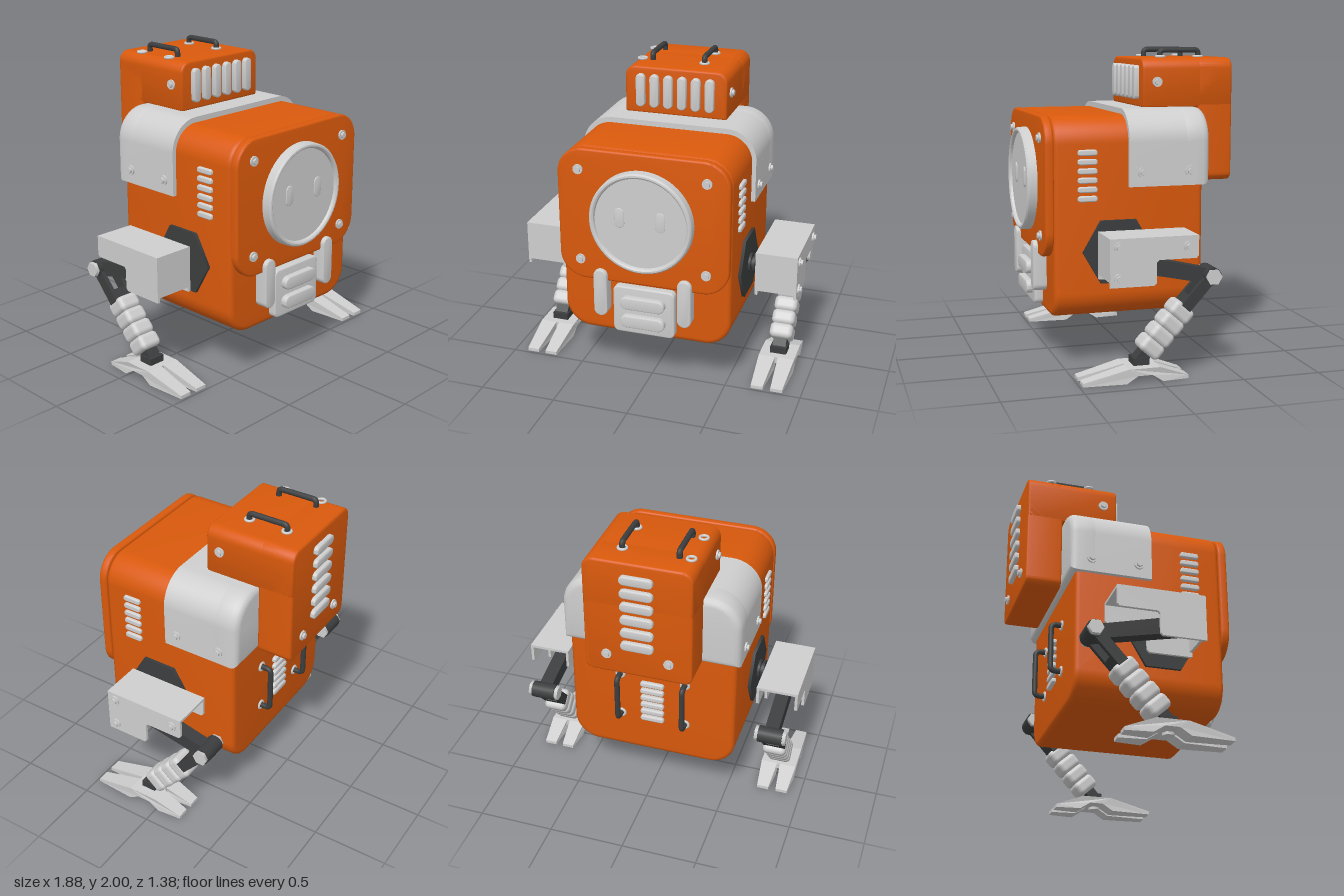
import * as THREE from 'three';
import { toCreasedNormals } from 'three/addons/utils/BufferGeometryUtils.js';
import { RoundedBoxGeometry } from 'three/addons/geometries/RoundedBoxGeometry.js';

const paint = (name, color) => Object.assign(new THREE.MeshStandardMaterial({ color }), { name });

// Rounded rectangle centred on the origin, with separate top and bottom radii
function roundedRect(w, h, top, bottom = top) {
  const s = new THREE.Shape(), x = w / 2, y = h / 2;
  s.moveTo(-x + bottom, -y);
  s.lineTo(x - bottom, -y);
  if (bottom > 0) s.absarc(x - bottom, -y + bottom, bottom, -Math.PI / 2, 0);
  s.lineTo(x, y - top);
  s.absarc(x - top, y - top, top, 0, Math.PI / 2);
  s.lineTo(-x + top, y);
  s.absarc(-x + top, y - top, top, Math.PI / 2, Math.PI);
  s.lineTo(-x, -y + bottom);
  if (bottom > 0) s.absarc(-x + bottom, -y + bottom, bottom, Math.PI, Math.PI * 1.5);
  return s;
}

// Slab of full size w x h x d with softened edges, centred
function slabGeometry(w, h, d, top, bottom, bevel) {
  const b = bevel, shape = roundedRect(w - 2 * b, h - 2 * b, Math.max(top - b, 0.002), Math.max(bottom - b, 0));
  const g = new THREE.ExtrudeGeometry(shape, {
    depth: d - 2 * b, bevelEnabled: b > 0, bevelSize: b, bevelThickness: b, bevelSegments: 3, curveSegments: 10,
  });
  g.translate(0, 0, -d / 2 + b);
  return toCreasedNormals(g, 0.7);
}

// Side outline in (z, y), extruded across x and centred
function profileGeometry(points, width) {
  const shape = new THREE.Shape(points.map(([z, y]) => new THREE.Vector2(z, y)));
  const g = new THREE.ExtrudeGeometry(shape, { depth: width, bevelEnabled: false });
  return g.translate(0, 0, -width / 2).rotateY(-Math.PI / 2);
}

export function createModel() {
  const orange = paint('orange paint', 0xd9590c);
  const light = paint('light grey metal', 0xcecece);
  const dark = paint('dark grey rubber', 0x3c3d3e);
  const root = new THREE.Group();
  root.name = 'walkingRobot';
  const CX = -0.013;

  const add = (parent, name, geometry, material, x = 0, y = 0, z = 0) => {
    const m = new THREE.Mesh(geometry, material);
    m.name = name;
    m.position.set(x, y, z);
    parent.add(m);
    return m;
  };
  const Z = new THREE.Vector3(0, 0, 1);
  const face = (obj, dir) => obj.quaternion.setFromUnitVectors(Z, new THREE.Vector3(...dir));

  // Washer with a hexagonal head, pointing along dir
  const bolt = (parent, x, y, z, dir) => {
    const g = new THREE.Group();
    g.name = 'bolt';
    add(g, 'washer', new THREE.CylinderGeometry(0.032, 0.032, 0.014, 20).rotateX(Math.PI / 2), light, 0, 0, 0.004);
    add(g, 'boltHead', new THREE.CylinderGeometry(0.02, 0.022, 0.024, 6).rotateX(Math.PI / 2), light, 0, 0, 0.013);
    g.position.set(x, y, z);
    face(g, dir);
    parent.add(g);
  };
  // Raised capsule-shaped bar facing +z, before any turn
  const capsule = (w, h, d) => slabGeometry(w, h, d, Math.min(w, h) / 2 - 0.001, Math.min(w, h) / 2 - 0.001, Math.min(0.008, d / 3));

  // Body and front plate
  add(root, 'body', slabGeometry(1.115, 1.265, 0.96, 0.17, 0.17, 0.03), orange, CX, 0.9575, 0.09);
  add(root, 'frontPlate', slabGeometry(1.115, 0.88, 0.055, 0.17, 0.17, 0.012), orange, CX, 1.15, 0.5975);
  for (const x of [-0.43, 0.4]) for (const y of [0.845, 1.455]) bolt(root, x, y, 0.625, [0, 0, 1]);

  // Round face with a raised rim
  const rim = [[0.001, 0.045], [0.298, 0.045], [0.303, 0.06], [0.313, 0.067], [0.324, 0.066], [0.333, 0.055], [0.335, 0.0]];
  const faceGeometry = new THREE.LatheGeometry(rim.reverse().map(p => new THREE.Vector2(...p)), 56);
  add(root, 'faceDisc', toCreasedNormals(faceGeometry.rotateX(Math.PI / 2), 0.6), light, CX, 1.155, 0.622);
  for (const x of [-0.148, 0.117]) add(root, 'eye', capsule(0.064, 0.13, 0.009), light, x, 1.18, 0.669);

  // Lower front panel with bars
  add(root, 'chinPanel', slabGeometry(0.41, 0.325, 0.06, 0.035, 0.035, 0.01), light, CX, 0.52, 0.595);
  for (const y of [0.585, 0.455]) add(root, 'chinBar', capsule(0.295, 0.085, 0.05), light, CX, y, 0.64);
  for (const x of [-0.295, 0.263]) add(root, 'frontBar', capsule(0.09, 0.325, 0.09), light, x, 0.63, 0.61);

  // Shoulder cover: straight front rim, softened back
  add(root, 'shoulderCover', slabGeometry(1.17, 0.475, 0.44, 0.2, 0, 0), light, CX, 1.3875, -0.12);
  add(root, 'shoulderCoverBack', slabGeometry(1.17, 0.475, 0.2, 0.2, 0.045, 0.045), light, CX, 1.3875, -0.33);
  for (const s of [-1, 1]) {
    for (const z of [0.015, -0.295]) bolt(root, CX + s * 0.585, 1.24, z, [s, 0, 0]);
    // Side vents
    for (let i = 0; i < 6; i++) {
      face(add(root, 'sideVent', capsule(0.125, 0.037, 0.04), light, CX + s * 0.557, 1.37 - i * 0.057, 0.362), [s, 0, 0]);
    }
  }

  // Head: upper box and rear box that hangs behind the cover
  add(root, 'headTop', slabGeometry(0.69, 0.315, 0.605, 0.07, 0.015, 0.014), orange, -0.015, 1.7775, -0.3625);
  add(root, 'headRear', slabGeometry(0.69, 0.795, 0.235, 0.07, 0.05, 0.014), orange, -0.015, 1.5375, -0.5475);
  for (let i = 0; i < 6; i++) {
    add(root, 'headFrontVent', capsule(0.06, 0.22, 0.05), light, -0.25 + i * 0.0935, 1.78, -0.053);
    add(root, 'headRearVent', capsule(0.21, 0.06, 0.05), light, -0.015, 1.83 - i * 0.093, -0.668);
  }
  for (const s of [-1, 1]) {
    bolt(root, -0.015 + s * 0.345, 1.785, -0.155, [s, 0, 0]);
    bolt(root, -0.013 + s * 0.2, 1.275, -0.665, [0, 0, -1]);
  }

  // Bent tube handle: span along one axis, rise along another
  const handle = (name, x, y, z, span, rise) => {
    const a = new THREE.Vector3(...span), b = new THREE.Vector3(...rise);
    const at = (u, v) => new THREE.Vector3(x, y, z).addScaledVector(a, u).addScaledVector(b, v);
    const path = new THREE.CurvePath();
    path.add(new THREE.LineCurve3(at(-1, -0.2), at(-1, 0.5)));
    path.add(new THREE.QuadraticBezierCurve3(at(-1, 0.5), at(-1, 1), at(-0.8, 1)));
    path.add(new THREE.LineCurve3(at(-0.8, 1), at(0.8, 1)));
    path.add(new THREE.QuadraticBezierCurve3(at(0.8, 1), at(1, 1), at(1, 0.5)));
    path.add(new THREE.LineCurve3(at(1, 0.5), at(1, -0.2)));
    add(root, name, new THREE.TubeGeometry(path, 48, 0.018, 10), dark);
  };
  const ring = (x, y, z, dir) => face(add(root, 'handleRing', new THREE.TorusGeometry(0.026, 0.009, 8, 24), light, x, y, z), dir);
  for (const [x, ringX] of [[-0.228, -0.3], [0.127, 0.127]]) {
    handle('headHandle', x, 1.935, -0.37, [0, 0, 0.132], [0, 0.047, 0]);
    for (const z of [-0.5, -0.24]) ring(ringX, 1.94, z, [0, 1, 0]);
  }

  // Back handles and vents
  for (const s of [-1, 1]) {
    const x = -0.015 + s * 0.22;
    handle('backHandle', x, 0.765, -0.39, [0, 0.16, 0], [0, 0, -0.072]);
    for (const y of [0.605, 0.925]) ring(x, y, -0.393, [0, 0, -1]);
  }
  for (let i = 0; i < 6; i++) add(root, 'backVent', capsule(0.16, 0.037, 0.04), light, -0.015, 0.88 - i * 0.055, -0.395);

  // Hip plates and ribbed axles
  for (const s of [-1, 1]) {
    const plate = new THREE.CylinderGeometry(0.228, 0.228, 0.04, 6).rotateY(Math.PI / 6).rotateZ(Math.PI / 2);
    plate.rotateX(Math.PI / 6);
    // Turn until one hexagon corner points forward
    const p = plate.attributes.position;
    let best = 0;
    for (let i = 0; i < p.count; i++) if (Math.hypot(p.getY(i), p.getZ(i)) > 0.2) best = Math.atan2(p.getY(i), p.getZ(i));
    plate.rotateX(best);
    add(root, 'hipPlate', plate, dark, CX + s * 0.558, 0.75, 0.168);
    add(root, 'hipAxle', new THREE.CylinderGeometry(0.04, 0.04, 0.2, 20).rotateZ(Math.PI / 2), dark, CX + s * 0.62, 0.75, 0.168);
    for (const d of [0.588, 0.616, 0.644]) {
      add(root, 'axleRib', new THREE.CylinderGeometry(0.064, 0.064, 0.016, 24).rotateZ(Math.PI / 2), dark, CX + s * d, 0.75, 0.168);
    }
  }

  // Legs
  const shellSide = [[0.32, 0.6], [0.32, 0.895], [-0.235, 0.895], [-0.235, 0.77], [-0.22, 0.755], [0.015, 0.755],
    [0.03, 0.74], [0.03, 0.615], [0.045, 0.6]];
  const thigh = [[0.25, 0.8], [-0.32, 0.665], [-0.385, 0.61], [-0.33, 0.57], [0.25, 0.69]];
  const footSide = [[0.48, 0], [0.48, 0.022], [0.2, 0.09], [0, 0.09], [-0.185, 0.022], [-0.185, 0], [-0.02, 0], [0.05, 0.045],
    [0.14, 0.045], [0.21, 0]];
  for (const s of [-1, 1]) {
    const leg = new THREE.Group();
    leg.name = s > 0 ? 'leftLeg' : 'rightLeg';
    leg.position.x = s > 0 ? 0.773 : -0.806;
    root.add(leg);

    // Open thigh cover
    for (const e of [-1, 1]) add(leg, 'thighCoverSide', profileGeometry(shellSide, 0.018), light, e * 0.127);
    add(leg, 'thighCoverTop', new THREE.BoxGeometry(0.25, 0.018, 0.555), light, 0, 0.886, 0.0425);
    add(leg, 'thighCoverFront', new THREE.BoxGeometry(0.25, 0.26, 0.018), light, 0, 0.76, 0.311);
    if (s > 0) for (const [y, z] of [[0.845, 0.265], [0.655, 0.265], [0.83, -0.17]]) bolt(leg, 0.136, y, z, [1, 0, 0]);

    // Thigh link and knee
    add(leg, 'thighLink', profileGeometry(thigh, 0.09), dark);
    add(leg, 'kneeJoint', new THREE.CylinderGeometry(0.055, 0.055, 0.16, 16).rotateZ(Math.PI / 2), dark, 0, 0.62, -0.35);
    for (const e of [-1, 1]) add(leg, 'kneeBolt', new THREE.CylinderGeometry(0.048, 0.052, 0.024, 6).rotateZ(Math.PI / 2), light, e * 0.09, 0.62, -0.35);

    // Shin: dark fork with rounded sleeves
    const shin = new THREE.Group();
    shin.name = 'shin';
    shin.position.set(0, 0.62, -0.35);
    shin.rotation.x = -0.73;
    leg.add(shin);
    for (const e of [-1, 1]) add(shin, 'shinFork', new THREE.BoxGeometry(0.03, 0.27, 0.07), dark, e * 0.058, -0.125, 0);
    add(shin, 'shinCore', new THREE.BoxGeometry(0.09, 0.5, 0.07), dark, 0, -0.43, 0);
    for (let i = 0; i < 4; i++) add(shin, 'shinSleeve', new RoundedBoxGeometry(0.155, 0.1, 0.155, 3, 0.032), light, 0, -0.292 - i * 0.094, 0);

    // Foot with two front and two rear toes
    add(leg, 'ankleBlock', new THREE.BoxGeometry(0.11, 0.05, 0.1), dark, 0, 0.11, 0.1);
    add(leg, 'ankleNut', new THREE.CylinderGeometry(0.04, 0.04, 0.09, 6), light, 0, 0.073, 0.11);
    add(leg, 'footBridge', new THREE.BoxGeometry(0.12, 0.045, 0.2), light, 0, 0.0675, 0.1);
    for (const e of [-1, 1]) {
      const toe = profileGeometry(footSide, 0.11), p = toe.attributes.position;
      for (let i = 0; i < p.count; i++) if (Math.abs(p.getZ(i) - 0.1) > 0.25) p.setX(i, p.getX(i) * 0.72);
      toe.computeVertexNormals();
      add(leg, 'toe', toe, light, e * 0.065);
    }
  }
  return root;
}
